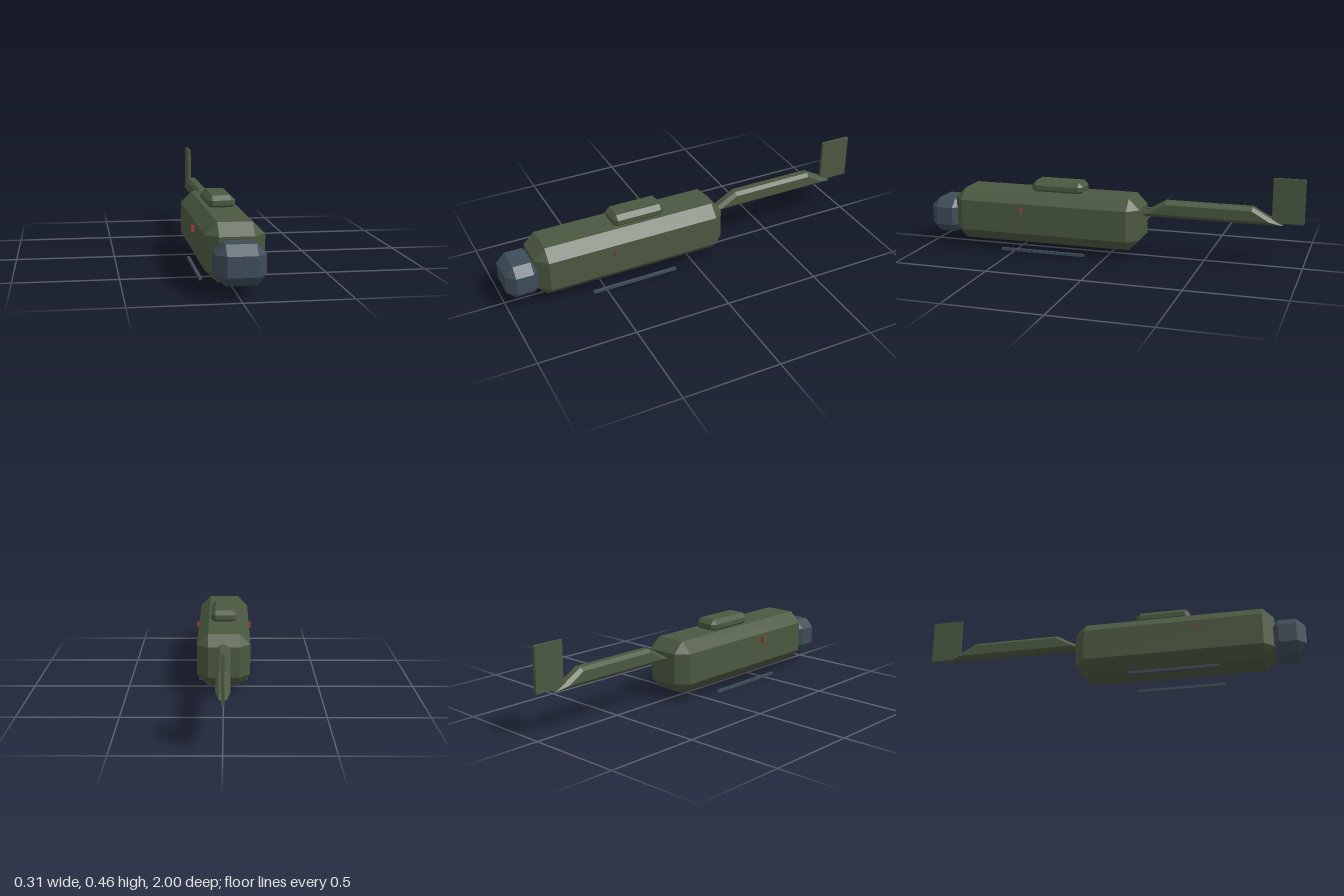
import * as THREE from 'three';
import { ConvexGeometry } from 'three/addons/geometries/ConvexGeometry.js';

function material(name, color) {
  const m = new THREE.MeshStandardMaterial({ color });
  m.name = name;
  return m;
}

// Box between two corners with every edge and corner cut by c
function chamferBox(min, max, c) {
  const centre = min.map((v, i) => (v + max[i]) / 2);
  const half = min.map((v, i) => (max[i] - v) / 2);
  const points = [];
  for (const sx of [-1, 1]) for (const sy of [-1, 1]) for (const sz of [-1, 1]) {
    const s = [sx, sy, sz];
    for (let axis = 0; axis < 3; axis++) {
      const p = s.map((sign, i) => centre[i] + sign * (half[i] - (i === axis ? 0 : c)));
      points.push(new THREE.Vector3(...p));
    }
  }
  return new ConvexGeometry(points);
}

function box(min, max) {
  const g = new THREE.BoxGeometry(max[0] - min[0], max[1] - min[1], max[2] - min[2]);
  return g.translate((min[0] + max[0]) / 2, (min[1] + max[1]) / 2, (min[2] + max[2]) / 2);
}

// Trapezoid side profile with bevelled flanks
function boomGeometry() {
  const front = -0.144, back = -0.893, bottom = 0.217, top = 0.303;
  const bevel = 0.017, slope = Math.PI / 6;
  const run = (top - bottom) / Math.tan(slope);
  const tip = bevel / Math.tan(slope / 2);
  const shoulder = bevel * Math.tan(slope / 2);
  const points = [];
  for (const side of [-1, 1]) for (const inset of [0, 1]) {
    const x = side * (0.017 + 0.017 * inset);
    const low = bottom + bevel * inset, high = top - bevel * inset;
    points.push(
      new THREE.Vector3(x, low, front - tip * inset),
      new THREE.Vector3(x, high, front - run - shoulder * inset),
      new THREE.Vector3(x, high, back + run + shoulder * inset),
      new THREE.Vector3(x, low, back + tip * inset)
    );
  }
  return new ConvexGeometry(points);
}

export function createModel() {
  const green = material('olive green', 0x4b5840);
  const slate = material('slate blue', 0x3d4c58);
  const red = material('marker red', 0xa2392d);

  const model = new THREE.Group();
  model.name = 'helicopter';
  const add = (name, geometry, mat) => {
    const mesh = new THREE.Mesh(geometry, mat);
    mesh.name = name;
    model.add(mesh);
  };

  // Fuselage, cockpit and roof housing
  add('fuselage', chamferBox([-0.137, 0.043, -0.175], [0.137, 0.317, 0.85], 0.057), green);
  add('cockpit', chamferBox([-0.113, 0.065, 0.82], [0.113, 0.249, 1], 0.045), slate);
  add('engineHousing', chamferBox([-0.068, 0.305, 0.14], [0.068, 0.374, 0.422], 0.023), green);

  // Tail
  add('tailBoom', boomGeometry(), green);
  add('tailFin', box([-0.008, 0.227, -1], [0.008, 0.455, -0.84]), green);

  // Paired skids and side markers
  for (const [side, s] of [['left', 1], ['right', -1]]) {
    const x = s * 0.125;
    add(side + 'Skid', box([x - 0.007, 0, 0.11], [x + 0.007, 0.014, 0.57]), slate);
    const m = s * 0.138;
    add(side + 'Marker', box([m - 0.016, 0.209, 0.451], [m + 0.016, 0.241, 0.456]), red);
  }
  return model;
}
